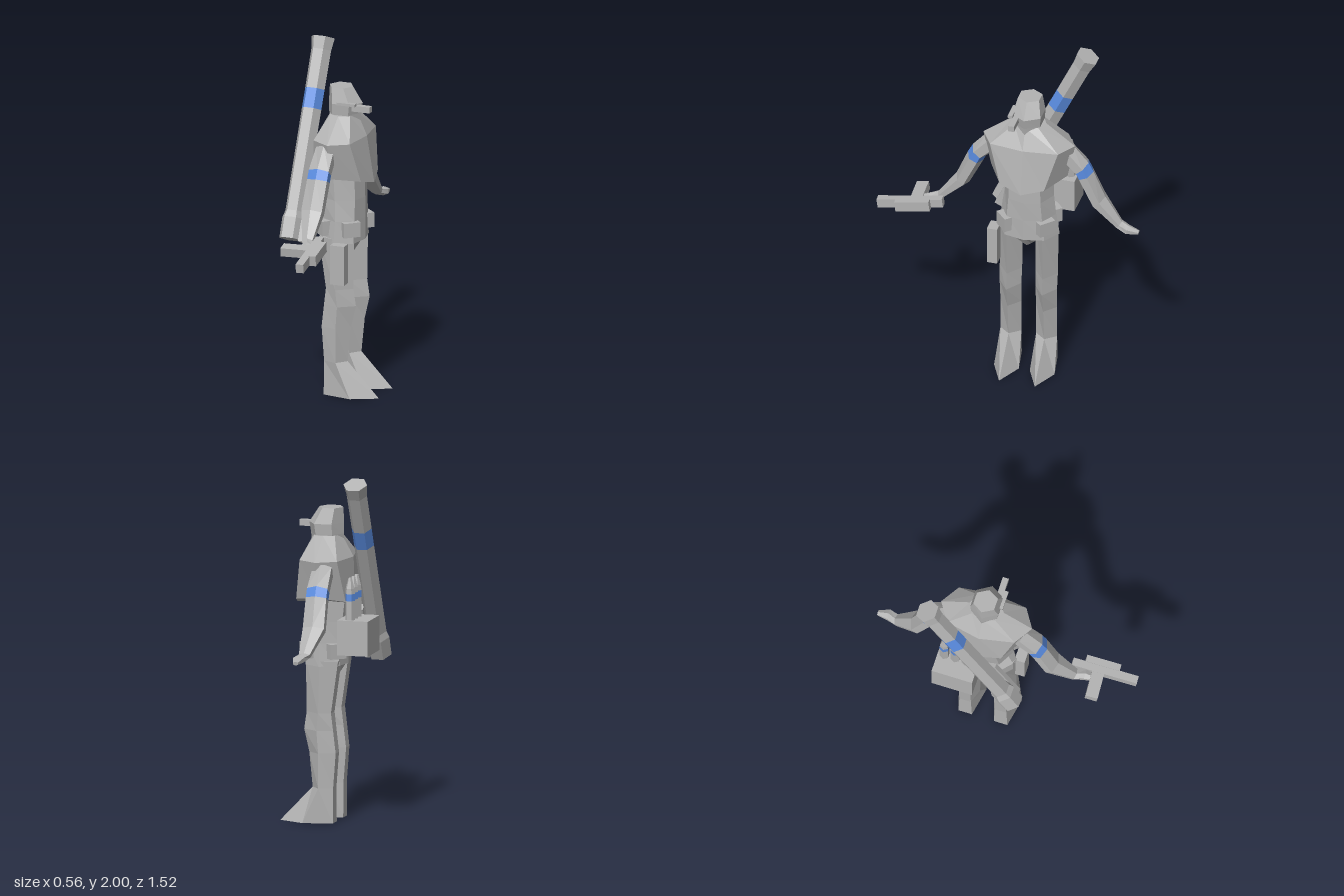
import * as THREE from 'three';

const grey = new THREE.MeshStandardMaterial({ color: 0xb2b2b2, flatShading: true });
grey.name = 'bodyGrey';
const blue = new THREE.MeshStandardMaterial({ color: 0x5a8ce0, flatShading: true });
blue.name = 'bandBlue';
const CZ = -0.11; // middle plane of the figure, which looks along +x

// Closed faceted skin through rings of [x, y, z] points
function loft(rings) {
  const n = rings[0].length, tris = [];
  for (let i = 0; i + 1 < rings.length; i++)
    for (let k = 0; k < n; k++) {
      const a = rings[i][k], b = rings[i][(k + 1) % n], c = rings[i + 1][(k + 1) % n], d = rings[i + 1][k];
      tris.push([a, b, c], [a, c, d]);
    }
  const last = rings[rings.length - 1];
  for (let k = 1; k + 1 < n; k++) {
    tris.push([rings[0][0], rings[0][k + 1], rings[0][k]]);
    tris.push([last[0], last[k], last[k + 1]]);
  }
  // turn every face outward, judged by the signed volume
  const v = (p) => new THREE.Vector3(...p);
  let vol = 0;
  for (const [a, b, c] of tris) vol += v(a).dot(v(b).cross(v(c)));
  if (vol < 0) for (const t of tris) t.reverse();
  const g = new THREE.BufferGeometry();
  g.setAttribute('position', new THREE.Float32BufferAttribute(tris.flat(2), 3));
  g.computeVertexNormals();
  return g;
}

function add(parent, name, geometry, material = grey) {
  const m = new THREE.Mesh(geometry, material);
  m.name = name;
  parent.add(m);
  return m;
}

function box(parent, name, min, max, rotX = 0) {
  const m = add(parent, name, new THREE.BoxGeometry(max[0] - min[0], max[1] - min[1], max[2] - min[2]));
  m.position.set((min[0] + max[0]) / 2, (min[1] + max[1]) / 2, (min[2] + max[2]) / 2);
  m.rotation.x = rotX;
  return m;
}

// Level ring with n corners between a back and a front x
function ring(y, back, front, halfZ, n, z = CZ) {
  const widest = n === 6 ? Math.sin(Math.PI / 3) : 1;
  return Array.from({ length: n }, (_, k) => {
    const a = (k / n) * Math.PI * 2;
    return [(back + front) / 2 + Math.cos(a) * (front - back) / 2, y, z + Math.sin(a) * halfZ / widest];
  });
}

// Mirrored eight-corner ring from five [x, y, dz] points, front to back
function mirrored(pts) {
  const left = pts.map(([x, y, d]) => [x, y, CZ + d]);
  const right = pts.slice(1, 4).reverse().map(([x, y, d]) => [x, y, CZ - d]);
  return [...left, ...right];
}

function arm(side) {
  // outward distance, height, x centre, half thickness, half x width
  const path = [[0.2, 1.46, 0, 0.06, 0.055], [0.302, 1.358, 0, 0.05, 0.06], [0.324, 1.315, 0, 0.05, 0.06],
    [0.4, 1.15, -0.005, 0.045, 0.062], [0.525, 1.02, 0.015, 0.024, 0.032],
    [0.58, 1.005, 0.035, 0.026, 0.03], [0.645, 0.995, 0.033, 0.012, 0.014]];
  const rings = path.map(([d, y, x, h, w], i) => {
    const p = path[Math.max(i - 1, 0)], q = path[Math.min(i + 1, path.length - 1)];
    const l = Math.hypot(q[0] - p[0], q[1] - p[1]);
    const nd = -(q[1] - p[1]) / l, ny = (q[0] - p[0]) / l;
    return Array.from({ length: 6 }, (_, k) => {
      const a = (k / 6) * Math.PI * 2, c = Math.cos(a) * h, s = Math.sin(a) * w / 0.866;
      return [x + s, y + ny * c, CZ + side * (d + nd * c)];
    });
  });
  const g = new THREE.Group();
  g.name = side > 0 ? 'gunArm' : 'freeArm';
  add(g, 'upperSleeve', loft(rings.slice(0, 2)));
  add(g, 'armBand', loft(rings.slice(1, 3)), blue);
  add(g, 'forearmAndHand', loft(rings.slice(2)));
  return g;
}

function leg(side) {
  const z = CZ + side * 0.105;
  // height, back x, widest x, front x, half z
  const rows = [[0, -0.04, 0.13, 0.28, 0.073], [0.2, -0.04, 0.04, 0.09, 0.062], [0.4, -0.055, 0.04, 0.11, 0.062],
    [0.53, -0.04, 0.05, 0.14, 0.064], [0.63, -0.028, 0.04, 0.125, 0.066], [0.93, -0.07, 0.03, 0.13, 0.068]];
  return loft(rows.map(([y, b, m, f, h]) =>
    [[f, y, z], [m, y, z + h], [b, y, z + h * 0.55], [b, y, z - h * 0.55], [m, y, z - h]]));
}

export function createModel() {
  const model = new THREE.Group();
  model.name = 'soldier';

  // Head and eyepiece
  add(model, 'head', loft([ring(1.58, -0.06, 0.125, 0.072, 6), ring(1.64, -0.065, 0.13, 0.078, 6),
    ring(1.7, -0.065, 0.14, 0.083, 6), ring(1.79, -0.06, 0.08, 0.062, 6)]));
  box(model, 'eyepiece', [0.1, 1.665, -0.072], [0.21, 1.7, -0.037]);
  box(model, 'eyepieceStrut', [0.02, 1.7, -0.04], [0.13, 1.715, -0.012]);

  // Cape over the shoulders
  add(model, 'cape', loft([
    mirrored([[0.21, 1.24, 0], [0.18, 1.275, 0.13], [0.03, 1.3, 0.225], [-0.11, 1.27, 0.13], [-0.13, 1.24, 0]]),
    mirrored([[0.165, 1.51, 0], [0.14, 1.51, 0.2], [0.03, 1.51, 0.27], [-0.08, 1.51, 0.2], [-0.12, 1.51, 0]]),
    mirrored([[0.11, 1.635, 0], [0.09, 1.635, 0.07], [0.03, 1.635, 0.1], [-0.03, 1.635, 0.07], [-0.05, 1.635, 0]]),
  ]));

  // Tunic and hips
  const tunic = (y, b, f, h) => mirrored([[f, y, 0], [f - 0.025, y, h * 0.65], [(b + f) / 2, y, h],
    [b + 0.02, y, h * 0.65], [b, y, 0]]);
  add(model, 'tunic', loft([tunic(0.9, -0.09, 0.155, 0.18), tunic(1.03, -0.085, 0.155, 0.16),
    tunic(1.15, -0.1, 0.155, 0.145), tunic(1.32, -0.12, 0.15, 0.14)]));
  add(model, 'hips', loft([tunic(0.815, -0.02, 0.08, 0.025), tunic(0.905, -0.08, 0.14, 0.15)]));

  // Limbs and belt pouches on both sides
  for (const side of [1, -1]) {
    model.add(arm(side));
    add(model, 'leg', leg(side));
    for (const [x, d, turn] of [[0.115, 0.12, 0.75], [-0.055, 0.125, -0.75]]) {
      const p = add(model, 'beltPouch', new THREE.BoxGeometry(0.1, 0.085, 0.05));
      p.position.set(x, 0.985, CZ + side * d);
      p.rotation.y = side * turn;
    }
  }
  box(model, 'holster', [0.03, 0.68, 0.055], [0.115, 0.91, 0.115]);

  // Sidearm held pointing along +z, dipping slightly
  const gun = new THREE.Group();
  gun.name = 'sidearm';
  gun.position.set(0.09, 0.99, 0.57);
  gun.rotation.set(0.145, 0.065, 0);
  box(gun, 'gunBarrel', [-0.023, -0.026, -0.19], [0.023, 0.026, 0.192]);
  box(gun, 'gunBody', [0.02, -0.03, -0.12], [0.06, 0.03, 0.08]);
  box(gun, 'gunGrip', [-0.175, -0.025, -0.07], [0, 0.025, 0]);
  model.add(gun);

  // Slung launcher tube, leaning toward -z as it rises
  const tube = new THREE.Group();
  tube.name = 'launcher';
  tube.position.set(-0.21, 0.92, 0.115);
  tube.rotation.x = -Math.atan2(0.5, 1.05);
  const section = (y, r) => ring(y, -r, r, r * 0.866, 6, 0);
  add(tube, 'launcherTail', loft([section(0, 0.068), section(0.12, 0.07), section(0.16, 0.058)]));
  add(tube, 'launcherTube', loft([section(0.16, 0.058), section(0.75, 0.059)]));
  add(tube, 'launcherBand', loft([section(0.75, 0.059), section(0.865, 0.059)]), blue);
  add(tube, 'launcherMuzzle', loft([section(0.865, 0.059), section(1.09, 0.06), section(1.163, 0.07)]));
  box(tube, 'launcherRail', [0.055, -0.01, -0.03], [0.08, 0.32, 0.025]);
  model.add(tube);

  // Back box with three banded charges
  box(model, 'backBox', [-0.27, 0.98, -0.34], [-0.09, 1.18, -0.1]);
  for (const z of [-0.3, -0.235, -0.17]) {
    const bar = (y, r) => ring(y, -0.155 - r, -0.155 + r, r * 0.866, 6, z);
    add(model, 'charge', loft([bar(1.17, 0.028), bar(1.29, 0.028)]));
    add(model, 'chargeBand', loft([bar(1.29, 0.028), bar(1.33, 0.028)]), blue);
    add(model, 'chargeTip', loft([bar(1.33, 0.028), bar(1.36, 0.026), bar(1.42, 0.01)]));
  }
  return model;
}
